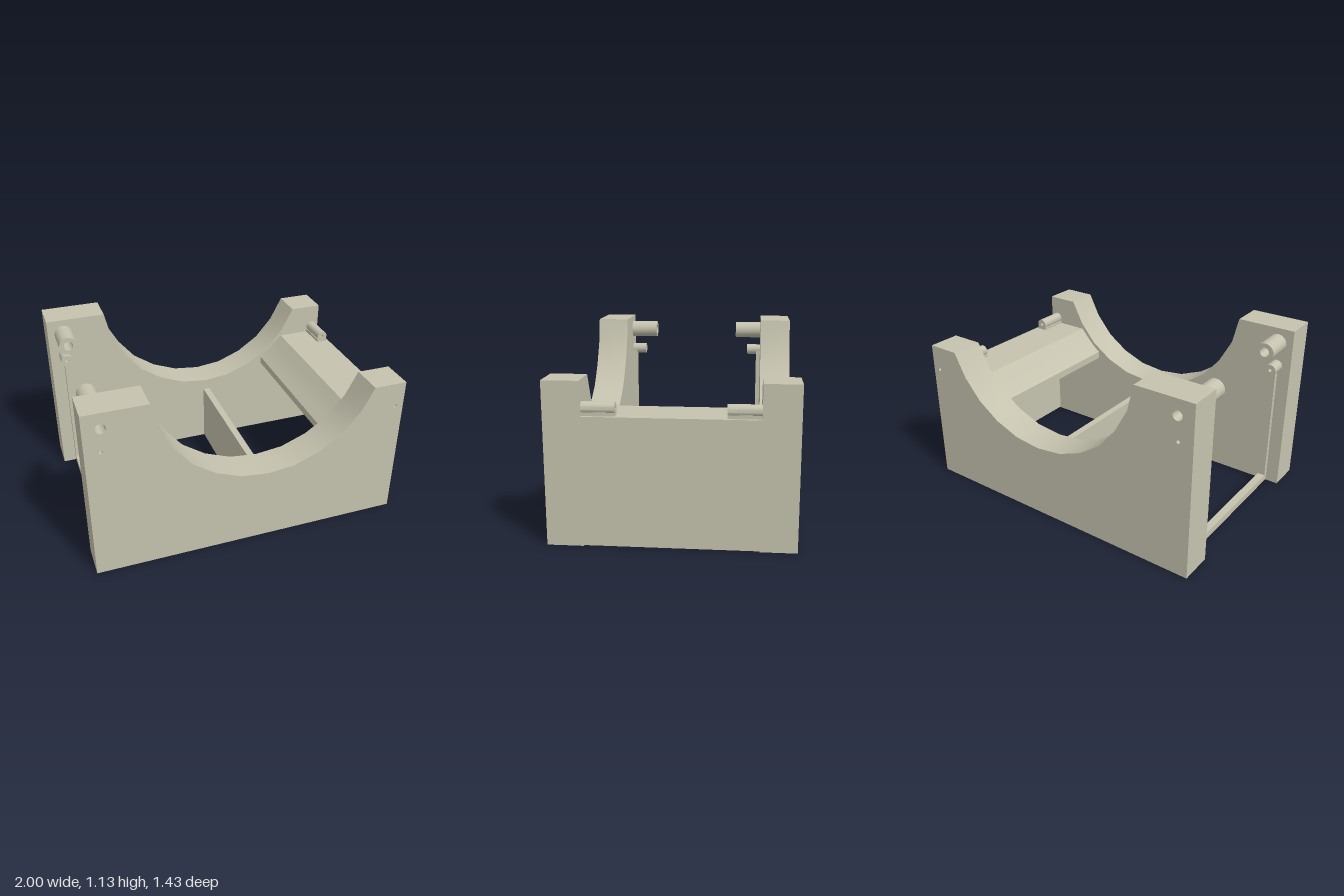
import * as THREE from 'three';
import { toCreasedNormals } from 'three/addons/utils/BufferGeometryUtils.js';

const material = new THREE.MeshStandardMaterial({ color: 0xc5c3ae });
const INNER = 0.5, OUTER = 0.713; // z of the end plates' faces

const shapeOf = (points) => new THREE.Shape(points.map(([x, y]) => new THREE.Vector2(x, y)));

function addHole(shape, x, y, r) {
  shape.holes.push(new THREE.Path().absarc(x, y, r, 0, Math.PI * 2, true));
}

// Extrude a shape in the x-y plane between two z positions
function slab(name, shape, z0, z1) {
  const geometry = new THREE.ExtrudeGeometry(shape, { depth: z1 - z0, bevelEnabled: false, curveSegments: 12 });
  geometry.translate(0, 0, z0);
  const mesh = new THREE.Mesh(toCreasedNormals(geometry, 0.6), material);
  mesh.name = name;
  return mesh;
}

function box(name, x0, x1, y0, y1, z0, z1) {
  const mesh = new THREE.Mesh(new THREE.BoxGeometry(x1 - x0, y1 - y0, z1 - z0), material);
  mesh.position.set((x0 + x1) / 2, (y0 + y1) / 2, (z0 + z1) / 2);
  mesh.name = name;
  return mesh;
}

// Hollow boss reaching inward from an end plate
function boss(name, x, y, radius, bore, z0, z1) {
  const ring = new THREE.Shape().absarc(x, y, radius, 0, Math.PI * 2, false);
  addHole(ring, x, y, bore);
  return slab(name, ring, z0, z1);
}

export function createModel() {
  const model = new THREE.Group();
  model.name = 'cradle';

  // End plate outline with the large scooped arc
  const plate = shapeOf([
    [-1, 0], [1, 0], [1, 0.96], [0.785, 0.96], [0.705, 0.805], [0.59, 0.67], [0.445, 0.57],
    [0.28, 0.505], [0.105, 0.485], [-0.07, 0.505], [-0.235, 0.57], [-0.38, 0.67],
    [-0.49, 0.805], [-0.575, 0.96], [-0.615, 1.13], [-1, 1.13],
  ]);
  addHole(plate, -0.895, 1.03, 0.031);
  addHole(plate, -0.905, 0.876, 0.011);
  addHole(plate, 0.947, 0.8, 0.011);

  for (const [side, s] of [['front', 1], ['back', -1]]) {
    const span = (a, b) => (s > 0 ? [a, b] : [-b, -a]);
    model.add(
      slab(side + 'Plate', plate, ...span(INNER, OUTER)),
      boss(side + 'LargeBoss', -0.895, 1.03, 0.06, 0.031, ...span(0.31, INNER)),
      boss(side + 'SmallBoss', -0.905, 0.876, 0.038, 0.011, ...span(0.4, INNER)),
      boss(side + 'LowBoss', 0.947, 0.8, 0.036, 0.011, ...span(0.31, INNER)),
      box(side + 'BossSeat', 0.911, 0.983, 0.75, 0.78, ...span(0.31, INNER)),
      box(side + 'Rail', -0.915, -0.865, 0.005, 0.865, ...span(0.47, INNER)),
    );
  }

  // Bent panel: side wall, flat top and curved lip
  model.add(slab('sidePanel', shapeOf([
    [0.955, 0.005], [1, 0.005], [1, 0.76], [0.7, 0.76], [0.655, 0.707], [0.605, 0.655], [0.545, 0.605],
    [0.545, 0.555], [0.595, 0.597], [0.645, 0.645], [0.7, 0.715], [0.955, 0.715],
  ]), -INNER, INNER));

  // Middle divider and the sill under the open side
  model.add(
    box('divider', 0.088, 0.133, 0.005, 0.41, -INNER, INNER),
    box('sill', -0.915, -0.865, 0.005, 0.05, -INNER, INNER),
  );
  return model;
}
